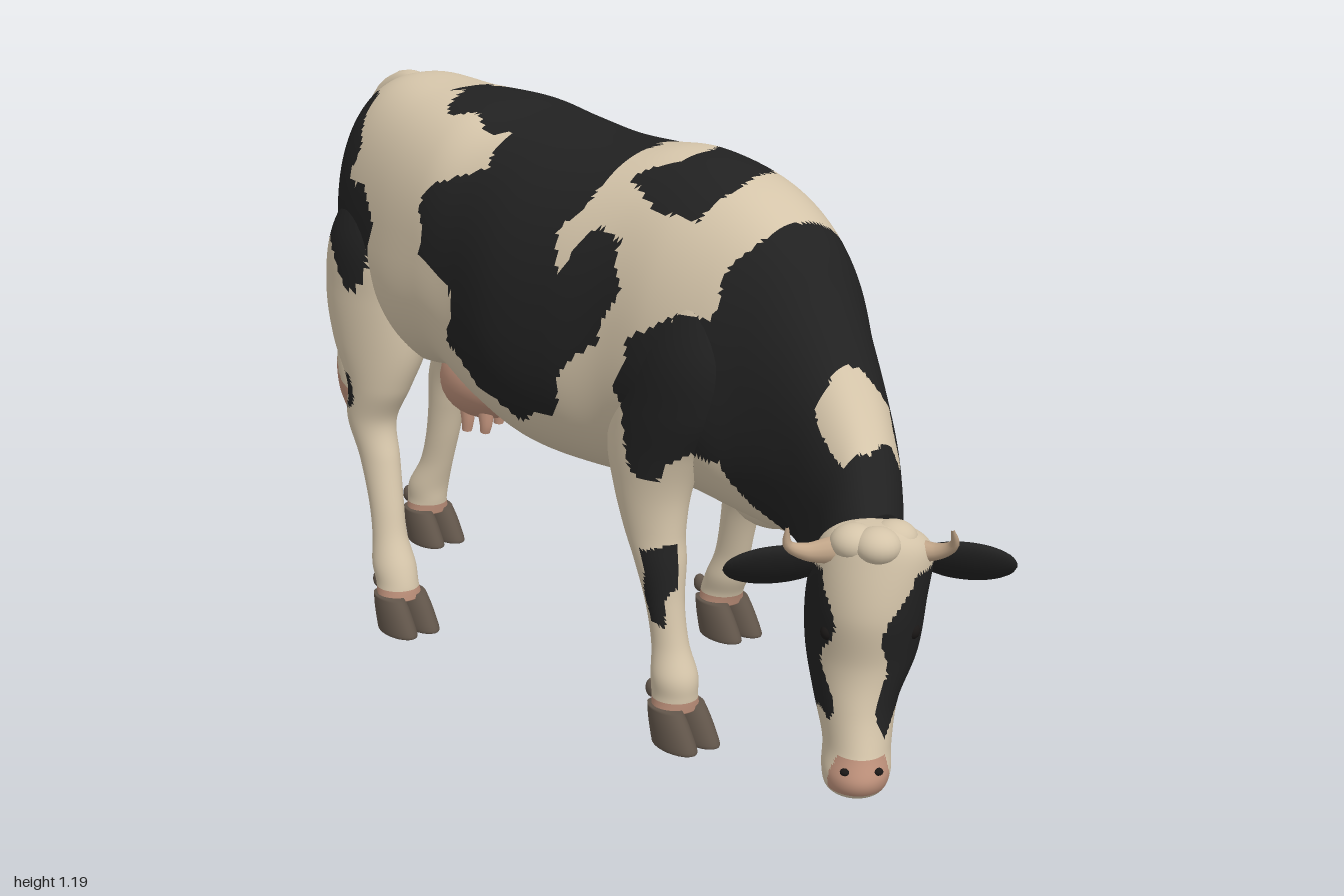
import * as THREE from 'three';

const mat = (name, color) => {
  const m = new THREE.MeshStandardMaterial({ color });
  m.name = name;
  return m;
};
const cream = mat('cream coat', 0xd4c4a9), black = mat('black coat', 0x212121), pink = mat('pink skin', 0xbd907a);
const hoofBrown = mat('hoof brown', 0x61554a), hornTan = mat('horn tan', 0xc3a78a), dark = mat('eye black', 0x1a1716);
const coat = [cream, black, pink];

// Black coat patches as outlines in (x, y), one list for each flank
const patchesFront = [
  [[-.82, 1.14], [-.72, 1.14], [-.69, 1.05], [-.71, .98], [-.63, .97], [-.59, .89], [-.6, .81], [-.64, .73], [-.685, .755], [-.765, .83], [-.95, .83], [-.95, 1.06]],
  [[-.55, 1.25], [-.54, 1.175], [-.44, 1.155], [-.28, 1.125], [-.26, 1.06], [-.34, 1.05], [-.4, 1], [-.4, .86], [-.3, .84], [-.28, .8], [-.3, .7],
    [-.22, .63], [-.1, .58], [0, .61], [.05, .72], [.13, .8], [.17, .9], [.15, 1], [.08, 1], [.02, .92], [0, 1], [.05, 1.1], [.03, 1.25]],
  [[.18, .7], [.21, .8], [.28, .86], [.38, .89], [.4, 1], [.43, 1.1], [.95, .75], [.85, .38], [.66, .4], [.55, .46], [.44, .5], [.41, .6], [.35, .6], [.3, .54], [.24, .55], [.2, .62]],
  [[.26, .4], [.32, .4], [.34, .33], [.32, .23], [.29, .25], [.28, .33]],
  [[-.69, .55], [-.66, .55], [-.65, .48], [-.68, .47]],
];
const patchesBack = [
  [[-.95, 1.06], [-.86, 1.1], [-.76, 1.1], [-.7, 1], [-.66, .85], [-.7, .75], [-.8, .72], [-.95, .83]],
  [[-.55, 1.25], [-.54, 1.175], [-.44, 1.15], [-.33, 1.12], [-.32, 1.07], [-.44, 1.04], [-.49, .95], [-.47, .85], [-.42, .8], [-.41, .65], [-.33, .56], [-.22, .62],
    [-.13, .68], [-.1, .78], [-.02, .82], [.02, .88], [.01, .94], [.1, 1.02], [.09, 1.06], [.02, 1.09], [.03, 1.25]],
  [[.43, 1.1], [.4, .95], [.37, .87], [.27, .86], [.2, .75], [.13, .62], [.17, .52], [.28, .55], [.4, .58], [.5, .5], [.66, .4], [.85, .38], [.95, .75]],
  [[0, .41], [.08, .41], [.09, .33], [.02, .31]],
  [[-.87, .53], [-.82, .53], [-.82, .47], [-.86, .46]],
];
// Outlines in (x, z) seen from above: the black crescent on the withers, the pale gap on the neck
const withers = [[.05, -.17], [.17, -.21], [.28, -.13], [.32, 0], [.29, .08], [.2, .11], [.1, .09], [.16, .01], [.15, -.08]];
const neckGap = [[.63, -.05], [.66, -.1], [.73, -.06], [.75, .03], [.72, .075], [.61, .055]];

const inside = (poly, x, y) => {
  let hit = false;
  poly.forEach(([ax, ay], i) => {
    const [bx, by] = poly[(i + 1) % poly.length];
    if ((ay > y) !== (by > y) && x < (bx - ax) * (y - ay) / (by - ay) + ax) hit = !hit;
  });
  return hit;
};
const coatAt = (p, n) => {
  const x = p.x + .008 * Math.sin(p.y * 47), y = p.y + .008 * Math.sin(p.x * 53);
  if (n.y > 0 && p.y > .64 && inside(neckGap, x, p.z)) return 0;
  if (p.y > 1 && inside(withers, x, p.z)) return 1;
  return (n.z > 0 ? patchesFront : patchesBack).some(q => inside(q, x, y)) ? 1 : 0;
};

// Smooth skin over cross-sections: rows are interpolated, ring(row, angle) gives a point, pick chooses the material
function loft(rows, ring, steps, around, pick) {
  const last = rows.length - 1, pts = [], tris = [[], [], []];
  const rowAt = u => {
    const i = Math.min(Math.floor(u), last - 1), t = u - i;
    const [a, b, c, d] = [i - 1, i, i + 1, i + 2].map(k => rows[Math.max(0, Math.min(last, k))]);
    return b.map((v, k) => v + .5 * t * (c[k] - a[k] + t * (2 * a[k] - 5 * v + 4 * c[k] - d[k] + t * (3 * (v - c[k]) + d[k] - a[k]))));
  };
  for (let i = 0; i <= steps; i++) {
    const r = rowAt(i / steps * last);
    for (let j = 0; j < around; j++) pts.push(ring(r, j / around * Math.PI * 2));
  }
  const middle = k => pts.slice(k, k + around).reduce((s, p) => s.add(p), new THREE.Vector3()).divideScalar(around);
  const end = steps * around, capA = pts.length, capB = capA + 1;
  pts.push(middle(0), middle(end));
  const face = (a, b, c) => {
    const A = pts[a], B = pts[b], C = pts[c];
    const n = B.clone().sub(A).cross(C.clone().sub(A)).normalize();
    tris[pick ? pick(A.clone().add(B).add(C).divideScalar(3), n) : 0].push(a, b, c);
  };
  for (let j = 0; j < around; j++) {
    const k = (j + 1) % around;
    for (let i = 0; i < steps; i++) {
      const o = i * around, q = o + around;
      face(o + j, q + j, q + k);
      face(o + j, q + k, o + k);
    }
    face(capA, j, k);
    face(capB, end + k, end + j);
  }
  const g = new THREE.BufferGeometry().setFromPoints(pts);
  g.setIndex(tris.flat());
  let start = 0;
  tris.forEach((t, m) => { if (t.length) g.addGroup(start, t.length, m); start += t.length; });
  g.computeVertexNormals();
  return g;
}

// Body rows: top x, top y, bottom x, bottom y, centre z, half width, roundness (lower is squarer)
const bodyRing = ([tx, ty, bx, by, z, w, e], a) => {
  const soft = v => Math.sign(v) * Math.abs(v) ** e, c = soft(Math.cos(a)), s = soft(Math.sin(a));
  return new THREE.Vector3((tx + bx + (tx - bx) * s) / 2, (ty + by + (ty - by) * s) / 2, z + w * c * (1 - .08 * s));
};
// Upright limb rows: y, x, z, half length, half width
const limbRing = ([y, x, z, rx, rz], a) => new THREE.Vector3(x + rx * Math.cos(a), y, z - rz * Math.sin(a));
// Head rows: y, x, z, half width, half depth; the head is turned towards +z
const side = new THREE.Vector3(.58, 0, -.81), ahead = new THREE.Vector3(.81, 0, .58);
const headRing = ([y, x, z, w, d], a) => new THREE.Vector3(x, y, z).addScaledVector(ahead, d * Math.cos(a)).addScaledVector(side, w * Math.sin(a));
const headCoat = p => {
  const q = p.clone().sub(new THREE.Vector3(.85, 0, .12)), t = q.dot(side) + .03, f = q.dot(ahead);
  if (p.y < .195 && p.y > .13 && f > .115) return 2;
  const low = f < -.06 ? .285 : .24 + .02 * Math.sin(f * 40);
  const blaze = t > 0 ? .045 + .4 * Math.max(0, p.y - .4) : .05;
  return p.y > low && p.y < .53 && Math.abs(t) > blaze + .01 * Math.sin(p.y * 40) ? 1 : 0;
};

// Tube that narrows from one radius to another
function taper(points, r0, r1) {
  const curve = new THREE.CatmullRomCurve3(points.map(p => new THREE.Vector3(...p))), n = 24, m = 12;
  const g = new THREE.TubeGeometry(curve, n, 1, m), pos = g.attributes.position, v = new THREE.Vector3();
  for (let i = 0; i < pos.count; i++) {
    const t = Math.floor(i / (m + 1)) / n, c = curve.getPointAt(t);
    v.fromBufferAttribute(pos, i).sub(c).multiplyScalar(r0 + (r1 - r0) * t).add(c);
    pos.setXYZ(i, v.x, v.y, v.z);
  }
  return g;
}

export function createModel() {
  const cow = new THREE.Group();
  const add = (name, geo, material) => {
    const m = new THREE.Mesh(geo, material);
    m.name = name;
    cow.add(m);
    return m;
  };
  const ball = (name, material, x, y, z, rx, ry = rx, rz = rx) => {
    const m = add(name, new THREE.SphereGeometry(1, 24, 16), material);
    m.position.set(x, y, z);
    m.scale.set(rx, ry, rz);
    return m;
  };

  // Trunk, neck and brisket
  add('body', loft([
    [-.86, .99, -.855, .82, .05, .06, .9], [-.845, 1.07, -.845, .72, .05, .125, .87], [-.79, 1.145, -.8, .62, .05, .175, .85], [-.7, 1.185, -.7, .57, .05, .205, .83],
    [-.55, 1.18, -.55, .565, .045, .228, .77], [-.41, 1.175, -.42, .57, .02, .253, .77], [-.3, 1.155, -.3, .5, -.005, .277, .84], [-.15, 1.14, -.15, .46, -.015, .295, .88],
    [0, 1.14, 0, .45, -.035, .28, .89], [.12, 1.15, .12, .455, -.05, .255, .92], [.25, 1.13, .25, .46, -.06, .245, .92], [.36, 1.09, .36, .445, -.065, .213, .9],
    [.46, 1.02, .43, .435, -.065, .172, .87], [.53, .93, .5, .435, -.055, .142, .87], [.61, .83, .56, .42, -.04, .122, .87], [.7, .73, .62, .38, -.01, .108, .87],
    [.78, .65, .69, .36, .04, .1, .87], [.83, .6, .77, .37, .08, .085, .87],
  ], bodyRing, 210, 130, coatAt), coat);
  ball('brisket', cream, .385, .505, -.055, .1, .085, .1);

  // Head with eyes, nostrils, ears, horns and a curly poll
  add('head', loft([
    [.61, .87, .135, .035, .025], [.595, .865, .13, .075, .06], [.55, .85, .11, .108, .1], [.45, .82, .1, .112, .145], [.35, .805, .095, .105, .15],
    [.27, .825, .125, .08, .13], [.2, .87, .16, .064, .1], [.155, .895, .183, .064, .09], [.125, .9, .19, .055, .07], [.112, .9, .19, .03, .04],
  ], headRing, 90, 90, headCoat), coat);
  for (const [x, z] of [[.86, .17], [.89, .1], [.9, .15]]) ball('pollCurl', cream, x, .58, z, .045, .035);
  for (const s of [1, -1]) {
    const eye = new THREE.Vector3(.817, .41, .099).addScaledVector(side, s * .076).addScaledVector(ahead, .088);
    ball('eye', dark, eye.x, eye.y, eye.z, .016);
    const nose = new THREE.Vector3(.888, .172, .175).addScaledVector(side, s * .03).addScaledVector(ahead, .078);
    ball('nostril', dark, nose.x, nose.y, nose.z, .01, .007, .01);
    const [from, to] = s > 0 ? [[.88, .53, .035], [.995, .505, -.115]] : [[.8, .53, .17], [.675, .505, .325]];
    const a = new THREE.Vector3(...from), b = new THREE.Vector3(...to);
    const ear = ball('ear', black, 0, 0, 0, .02, .053, a.distanceTo(b) / 2);
    ear.position.copy(a).lerp(b, .5);
    ear.lookAt(b);
    ear.rotateZ(s * .6);
  }
  add('leftHorn', taper([[.89, .56, .09], [.95, .56, .045], [.98, .58, .035], [.99, .615, .05]], .028, .003), hornTan);
  add('rightHorn', taper([[.84, .565, .19], [.805, .56, .235], [.788, .575, .265], [.788, .61, .268]], .028, .003), hornTan);

  // Legs with split hooves and dewclaws
  const legs = {
    frontHindLeg: [[1, -.68, .14, .08, .06], [.85, -.68, .175, .15, .1], [.72, -.68, .19, .165, .1], [.61, -.66, .21, .14, .085], [.52, -.635, .232, .088, .062],
      [.44, -.647, .245, .064, .05], [.36, -.612, .25, .051, .042], [.27, -.575, .26, .042, .037], [.2, -.552, .268, .041, .037], [.14, -.53, .273, .052, .046],
      [.1, -.512, .277, .05, .045], [.07, -.503, .278, .046, .05]],
    backHindLeg: [[1, -.7, -.06, .08, .06], [.85, -.71, -.08, .15, .09], [.72, -.73, -.09, .145, .09], [.6, -.755, -.1, .115, .075], [.51, -.8, -.105, .08, .056],
      [.43, -.85, -.105, .064, .048], [.35, -.865, -.1, .05, .041], [.27, -.88, -.095, .043, .037], [.2, -.9, -.09, .042, .037], [.14, -.925, -.083, .05, .046],
      [.1, -.93, -.08, .05, .045], [.07, -.93, -.08, .046, .05]],
    frontForeLeg: [[.95, .28, .08, .08, .05], [.8, .28, .1, .13, .08], [.68, .25, .11, .145, .085], [.58, .22, .125, .125, .075], [.5, .222, .135, .098, .065],
      [.42, .243, .145, .074, .055], [.36, .268, .15, .058, .05], [.28, .292, .157, .043, .038], [.2, .313, .16, .041, .036], [.14, .332, .164, .05, .046],
      [.1, .335, .165, .05, .045], [.07, .337, .165, .046, .05]],
    backForeLeg: [[.95, .25, -.22, .08, .05], [.8, .24, -.23, .12, .08], [.68, .19, -.235, .135, .08], [.57, .13, -.247, .115, .065], [.47, .085, -.254, .088, .053],
      [.38, .052, -.26, .063, .048], [.3, .022, -.265, .046, .039], [.2, -.005, -.268, .042, .036], [.14, -.025, -.27, .05, .046], [.1, -.043, -.27, .05, .045], [.07, -.048, -.27, .046, .05]],
  };
  for (const [name, rows] of Object.entries(legs)) {
    add(name, loft(rows, limbRing, 110, 44, (p, n) => p.y < .094 ? 2 : coatAt(p, n)), coat);
    const [, x, z] = rows.at(-1);
    for (const s of [.029, -.029]) {
      add('hoof', loft([[.079, x + .002, z + s, .046, .026], [.05, x + .015, z + s, .055, .03], [.008, x + .033, z + s, .063, .032], [0, x + .033, z + s, .06, .03]],
        limbRing, 12, 24), hoofBrown);
      ball('dewclaw', hoofBrown, x - .046, .1, z + s * .8, .014, .02, .013);
    }
  }

  // Udder and teats
  ball('udder', pink, -.46, .55, .05, .125, .098, .11).rotation.z = .25;
  for (const x of [-.49, -.42]) for (const z of [.01, .095])
    add('teat', taper([[x, .5, z], [x, .45, z], [x - .004, .42 + (x + .49) * .2, z]], .021, .011), pink);

  // Tail with a brush
  add('tail', taper([[-.66, 1.14, .055], [-.76, 1.15, .06], [-.835, 1.1, .07], [-.865, .97, .08], [-.878, .76, .085], [-.91, .63, .09]], .034, .018), cream);
  add('tailBrush', loft([[.67, -.9, .09, .02, .02], [.58, -.92, .09, .043, .043], [.49, -.936, .09, .054, .055], [.41, -.948, .095, .04, .042], [.33, -.958, .1, .006, .006]],
    limbRing, 40, 32, p => p.y < .44 + .04 * Math.sin((p.x + p.z) * 90) ? 2 : 0), coat);
  return cow;
}
